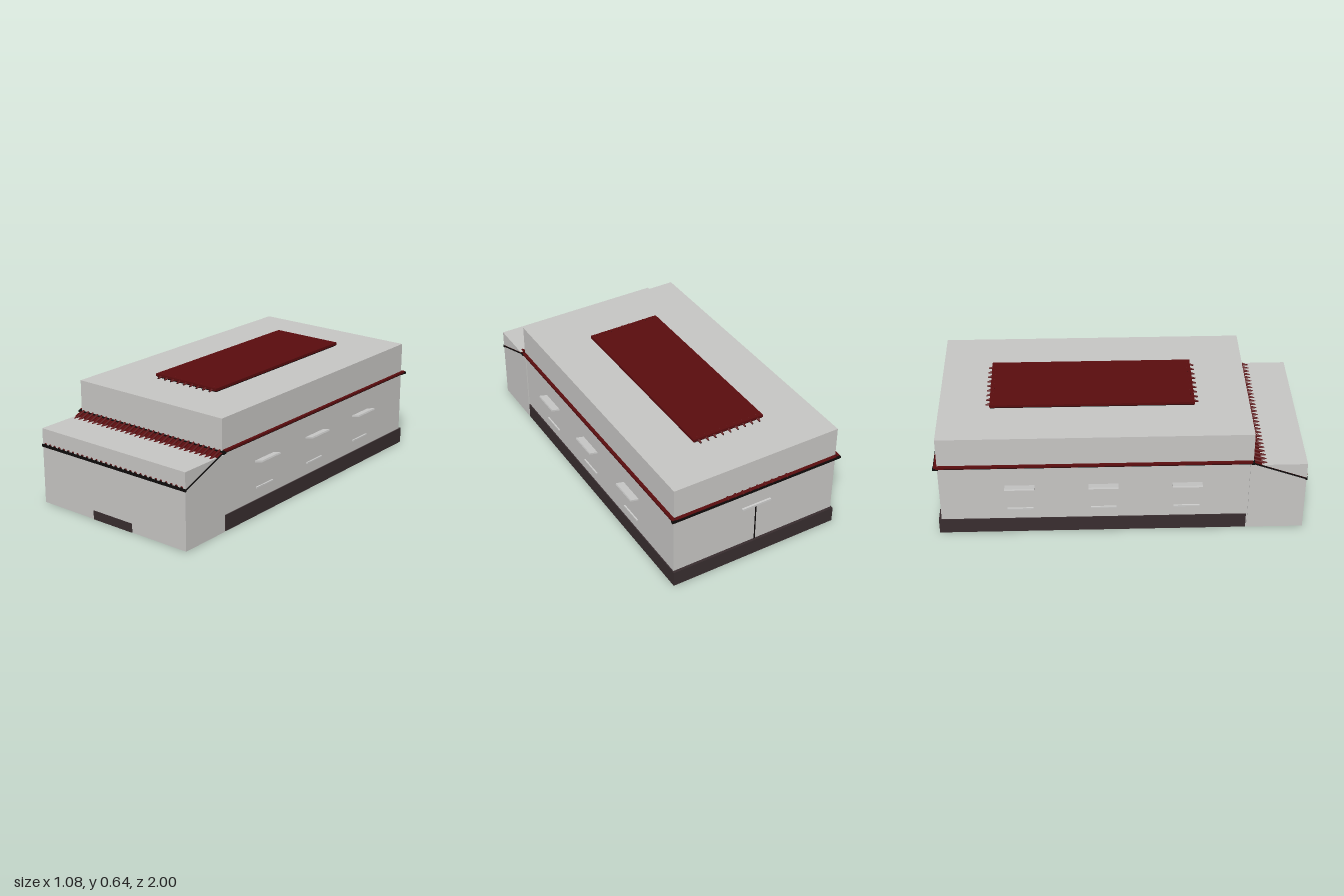
import * as THREE from 'three';

const mat = (name, color) => {
  const m = new THREE.MeshStandardMaterial({ color });
  m.name = name;
  return m;
};

export function createModel() {
  const wall = mat('wall grey', 0xc6c5c3);
  const ledge = mat('ledge grey', 0xcccccb);
  const red = mat('roof red', 0x5a0c0e);
  const black = mat('trim black', 0x0e0b0b);
  const dark = mat('plinth brown', 0x382d2f);

  const model = new THREE.Group();
  model.name = 'hall';

  const add = (name, geometry, material, x, y, z) => {
    const mesh = new THREE.Mesh(geometry, material);
    mesh.name = name;
    mesh.position.set(x, y, z);
    model.add(mesh);
    return mesh;
  };
  // Box given by its min and max on each axis
  const box = (name, material, x0, x1, y0, y1, z0, z1) =>
    add(name, new THREE.BoxGeometry(x1 - x0, y1 - y0, z1 - z0), material,
      (x0 + x1) / 2, (y0 + y1) / 2, (z0 + z1) / 2);
  // Round tile running between two points of the (z, y) plane; end caps are black
  const tile = (name, x, y0, z0, y1, z1, r0, r1) => {
    const length = Math.hypot(y1 - y0, z1 - z0);
    const g = new THREE.CylinderGeometry(r1, r0, length, 8);
    const mesh = add(name, g, [red, black, black], x, (y0 + y1) / 2, (z0 + z1) / 2);
    mesh.quaternion.setFromUnitVectors(new THREE.Vector3(0, 1, 0),
      new THREE.Vector3(0, y1 - y0, z1 - z0).normalize());
  };

  // Main masses
  box('mainHall', wall, -0.494, 0.494, 0, 0.62, -0.977, 0.705);
  box('frontBlock', wall, -0.5, 0.5, 0, 0.425, 0.69, 0.996);
  box('plinth', dark, -0.5, 0.5, 0.001, 0.09, -0.992, 0.682);
  box('frontDoor', dark, -0.136, 0.136, 0, 0.05, 0.99, 0.999);

  // Pitched front canopy, mostly sunk into the front block
  const slope = Math.atan2(0.112, 0.3);
  const canopy = add('frontCanopy', new THREE.BoxGeometry(1.003, 0.01, 0.315),
    [black, black, red, black, black, black], 0, 0.3835, 0.848);
  canopy.rotation.x = slope;
  box('canopyEdge', black, -0.503, 0.503, 0.321, 0.336, 0.99, 1.0);
  box('canopyRidge', black, -0.507, 0.507, 0.43, 0.447, 0.7, 0.711);
  for (let i = 0; i < 29; i++) {
    const x = -0.478 + i * 0.956 / 28;
    tile('canopyTile', x, 0.447, 0.7, 0.337, 0.9995, 0.008, 0.008);
  }

  // Cornice around the sides and back
  for (const s of [-1, 1]) {
    const side = (name, m, a, b, y0, y1, z0, z1) =>
      box(name, m, Math.min(s * a, s * b), Math.max(s * a, s * b), y0, y1, z0, z1);
    side('sideCornice', black, 0.49, 0.509, 0.437, 0.45, -0.997, 0.703);
    side('sideCorniceTiles', red, 0.494, 0.511, 0.441, 0.452, -0.994, 0.7);
    // Small end blocks where the cornice meets the canopy and the back
    side('corniceEnd', black, 0.498, 0.514, 0.435, 0.447, 0.695, 0.71);
    side('corniceEnd', black, 0.498, 0.514, 0.435, 0.447, -1.0, -0.985);

    // Tilted window canopies with sills beneath
    for (const z of [0.355, -0.095, -0.545]) {
      const awning = add('windowAwning', new THREE.BoxGeometry(0.05, 0.009, 0.16),
        ledge, s * 0.517, 0.314, z);
      awning.rotation.z = s * 0.24;
      side('windowSill', ledge, 0.49, 0.502, 0.154, 0.162, z - 0.07, z + 0.07);
    }
  }
  box('backCornice', black, -0.507, 0.507, 0.432, 0.446, -0.998, -0.97);
  box('backCorniceTiles', red, -0.503, 0.503, 0.445, 0.45, -0.995, -0.97);

  // Raised red roof with pointed tile ends at front and back
  box('roofDeck', red, -0.212, 0.212, 0.626, 0.641, -0.702, 0.407);
  box('roofBase', black, -0.208, 0.208, 0.618, 0.627, -0.698, 0.403);
  for (let i = -4; i <= 4; i++) {
    const x = i * 0.045;
    tile('roofTileEnd', x, 0.633, 0.385, 0.623, 0.428, 0.01, 0.004);
    tile('roofTileEnd', x, 0.633, -0.68, 0.623, -0.723, 0.01, 0.004);
    tile('backTileEnd', x, 0.449, -0.97, 0.445, -1.0, 0.008, 0.008);
  }

  // Back door: ledge above a thin centre joint
  box('backDoorLedge', ledge, -0.088, 0.088, 0.321, 0.332, -0.989, -0.97);
  box('backDoorJoint', black, -0.003, 0.003, 0.088, 0.321, -0.98, -0.972);

  return model;
}
